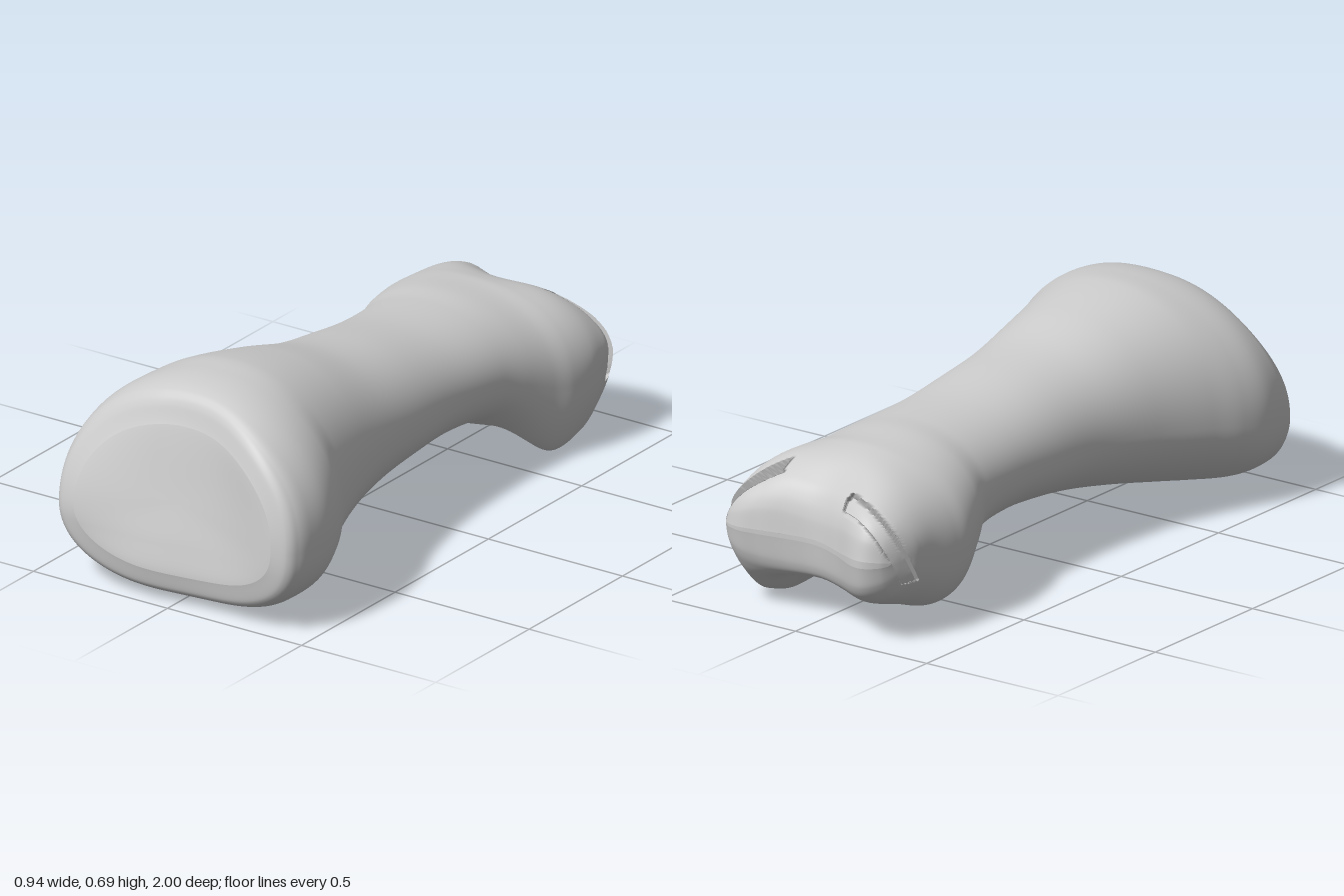
import * as THREE from 'three';

// Smooth lookup in a table of rows keyed on their first column
function lookup(rows, v) {
  let i = 0;
  while (i < rows.length - 2 && v > rows[i + 1][0]) i++;
  const a = rows[i], b = rows[i + 1], p = rows[Math.max(i - 1, 0)], q = rows[Math.min(i + 2, rows.length - 1)];
  const h = b[0] - a[0], t = THREE.MathUtils.clamp((v - a[0]) / h, 0, 1);
  return a.map((_, k) => {
    const m0 = (b[k] - p[k]) / (b[0] - p[0]) * h, m1 = (q[k] - a[k]) / (q[0] - a[0]) * h;
    const t2 = t * t, t3 = t2 * t;
    return (2 * t3 - 3 * t2 + 1) * a[k] + (t3 - 2 * t2 + t) * m0 + (3 * t2 - 2 * t3) * b[k] + (t3 - t2) * m1;
  });
}

// Cross-sections: z, x min, x max, y min, y max, height of widest point, roundness above, below
const HEAD = [
  [-1, -0.32, 0.325, 0.255, 0.285, 0.27, 3, 3],
  [-0.985, -0.335, 0.34, 0.175, 0.36, 0.27, 3, 3],
  [-0.95, -0.35, 0.352, 0.12, 0.42, 0.27, 2.8, 3],
  [-0.9, -0.355, 0.36, 0.085, 0.46, 0.265, 2.6, 2.9],
  [-0.8, -0.36, 0.365, 0.045, 0.503, 0.25, 2.4, 2.8],
  [-0.68, -0.37, 0.352, 0.01, 0.517, 0.24, 2.3, 2.8],
  [-0.6, -0.37, 0.33, 0.03, 0.522, 0.25, 2.2, 2.7],
  [-0.5, -0.335, 0.305, 0.095, 0.53, 0.29, 2.1, 2.5],
  [-0.4, -0.29, 0.285, 0.15, 0.53, 0.32, 2.1, 2.4],
];
const SHAFT = [
  [-0.2, -0.27, 0.27, 0.172, 0.54, 0.33, 2.1, 2.3],
  [0, -0.275, 0.275, 0.163, 0.567, 0.33, 2.1, 2.3],
  [0.2, -0.295, 0.29, 0.135, 0.597, 0.33, 2.1, 2.2],
  [0.4, -0.345, 0.325, 0.1, 0.65, 0.32, 2.1, 2.2],
];
const BASE = [
  [0.6, -0.415, 0.385, 0.06, 0.688, 0.3, 2.1, 2.25],
  [0.7, -0.452, 0.437, 0.042, 0.688, 0.29, 2.1, 2.4],
  [0.8, -0.473, 0.467, 0.03, 0.68, 0.28, 2.1, 2.7],
  [0.9, -0.464, 0.466, 0.026, 0.665, 0.28, 2.1, 2.8],
  [0.95, -0.448, 0.455, 0.032, 0.65, 0.28, 2.1, 2.8],
  [0.985, -0.42, 0.43, 0.055, 0.62, 0.28, 2.1, 2.7],
  [1, -0.365, 0.38, 0.11, 0.565, 0.28, 2.1, 2.5],
];
const SECTIONS = [...HEAD, ...SHAFT, ...BASE];

// Rear outline of the two condyles seen from above: x, z
const CONDYLES = [[-0.4, -0.8], [-0.35, -0.89], [-0.3, -0.973], [-0.23, -1], [-0.1, -0.935], [0, -0.9],
  [0.1, -0.907], [0.2, -0.927], [0.28, -0.937], [0.34, -0.905], [0.4, -0.8]];

// Saw slot in each condyle: side, inner end, a point in its plane, the plane's normal and the cutting direction
const vec = (x, y, z) => new THREE.Vector3(x, y, z);
const SLOTS = [
  { side: -1, inner: 0.12, at: vec(-0.12, 0.43, -0.895), normal: vec(0.4, -0.47, -0.785), cut: vec(0.61, -0.5, 0.61) },
  { side: 1, inner: 0.17, at: vec(0.175, 0.47, -0.825), normal: vec(-0.52, -0.2, -0.83), cut: vec(-0.55, -0.5, 0.465) },
];

const smooth = THREE.MathUtils.smoothstep;
const bump = (x, w) => Math.exp(-((x / w) ** 2));

function sectionPoint(z, angle) {
  const [, x0, x1, y0, y1, ym, nTop, nBottom] = lookup(SECTIONS, z);
  const c = Math.cos(angle), s = Math.sin(angle);
  const n = s > 0 ? nTop : nBottom;
  const x = (x0 + x1) / 2 + (x1 - x0) / 2 * Math.sign(c) * Math.abs(c) ** (2 / n);
  const rise = Math.abs(s) ** (2 / n);
  let y = ym + (s > 0 ? y1 - ym : y0 - ym) * rise;
  if (s < 0) {
    // groove between the condyles underneath, the one on +x reaching lowest
    const zone = smooth(z, -1, -0.8) * (1 - smooth(z, -0.65, -0.44));
    y += zone * rise * (0.12 * bump(x, 0.17) - 0.085 * bump(x - 0.295, 0.085));
  } else {
    // shallow dip on top, falling away over the shorter condyle
    y -= 0.03 * rise * bump(x, 0.15) * (1 - smooth(z, -0.9, -0.65));
    y -= 0.035 * rise * smooth(x, 0.1, 0.35) * (1 - smooth(z, -0.95, -0.7));
  }
  return vec(x, y, z);
}

// Shape the ends: rolled condyles at the back, slanted rim at the front
function shapeEnds(p) {
  if (p.z < -0.6) {
    p.z += (lookup(CONDYLES, p.x)[1] + 1) * ((-0.6 - p.z) / 0.4) ** 1.5;
  } else if (p.z > 0.7) {
    const slant = (0.13 - 0.085 * smooth(p.x, -0.1, 0.35)) * smooth(p.y, 0.2, 0.7);
    const notch = 0.025 * bump(p.x - 0.12, 0.17) + 0.015 * smooth(-p.x, 0.1, 0.4);
    p.z -= (slant + notch) * ((p.z - 0.7) / 0.3) ** 1.5;
  }
  return p;
}

// Sink the slots, lining up nearby points with the slot edges
function cutSlots(p) {
  const half = 0.028;
  for (const { side, inner, at, normal, cut } of SLOTS) {
    if (p.x * side < inner || p.y < 0.2 || p.z > -0.74) continue;
    const s = p.clone().sub(at).dot(normal), d = Math.abs(s);
    if (d > half + 0.008) continue;
    const inside = d < half;
    const target = inside ? (d > half - 0.008 ? half - 0.001 : d) : half + 0.001;
    p.addScaledVector(normal, Math.sign(s) * (target - d));
    if (inside) p.addScaledVector(cut, 0.05);
  }
  return p;
}

// Closed skin through a list of rings
function skin(rings) {
  const m = rings[0].length, positions = [], index = [];
  rings.forEach(ring => ring.forEach(p => positions.push(p.x, p.y, p.z)));
  for (let i = 0; i < rings.length - 1; i++) {
    for (let j = 0; j < m; j++) {
      const a = i * m + j, b = i * m + (j + 1) % m, c = a + m, d = b + m;
      index.push(a, b, d, a, d, c);
    }
  }
  const geometry = new THREE.BufferGeometry();
  geometry.setAttribute('position', new THREE.Float32BufferAttribute(positions, 3));
  geometry.setIndex(index);
  geometry.computeVertexNormals();
  return geometry;
}

export function createModel() {
  const group = new THREE.Group();
  group.name = 'fingerBone';
  const material = new THREE.MeshStandardMaterial({ color: 0xcccccc, side: THREE.DoubleSide });
  const around = 260, along = 230, faceRings = 28;
  const angles = Array.from({ length: around }, (_, j) => (j / around) * Math.PI * 2);
  const rings = [];

  // Rear closing edge, then head, shaft and flared base
  rings.push(angles.map(a => {
    const p = sectionPoint(-1, a);
    p.y = 0.27;
    return shapeEnds(p);
  }));
  for (let i = 0; i <= along; i++) {
    const z = -Math.cos((i / along) * Math.PI);
    rings.push(angles.map(a => cutSlots(shapeEnds(sectionPoint(z, a)))));
  }

  // Shallow dished joint face closing the base
  for (let i = 1; i <= faceRings; i++) {
    const s = Math.max(1 - i / faceRings, 0.001);
    rings.push(angles.map(a => {
      const p = sectionPoint(1, a);
      p.set(p.x * s, 0.33 + (p.y - 0.33) * s, 1 - 0.035 * (1 - s * s) ** 1.5);
      return shapeEnds(p);
    }));
  }

  const bone = new THREE.Mesh(skin(rings), material);
  bone.name = 'bone';
  group.add(bone);
  return group;
}
